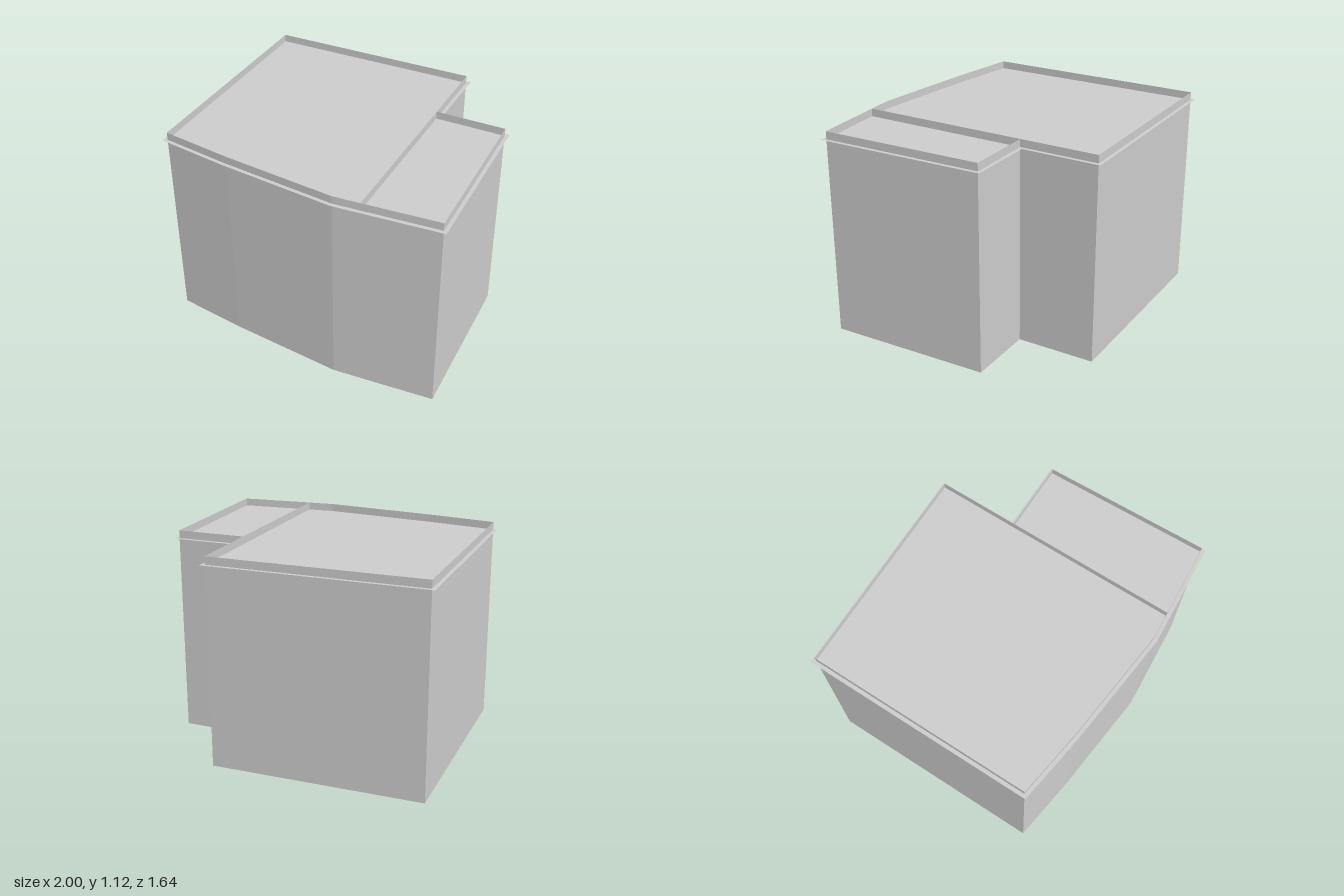
import * as THREE from 'three';

const WALL_TOP = 1.125, ROOF_Y = 1.083, OVERHANG = 0.02;

// Plan corners as [x, z], running round the building
const backLeft = [-0.974, -0.319], backMid = [0.065, -0.794], notch = [0.24, -0.404];
const wingBack = [0.585, -0.558], wingFront = [0.969, 0.236], dividerFront = [0.614, 0.428];
const bend1 = [0.487, 0.496], bend2 = [-0.105, 0.691], frontLeft = [-0.475, 0.797];
const outline = [backLeft, backMid, notch, wingBack, wingFront, dividerFront, bend1, bend2, frontLeft];

export function createModel() {
  const group = new THREE.Group();
  const material = new THREE.MeshStandardMaterial({ color: 0xcccccc, side: THREE.DoubleSide, flatShading: true });

  const add = (name, geometry) => {
    const mesh = new THREE.Mesh(geometry, material);
    mesh.name = name;
    group.add(mesh);
    return mesh;
  };

  // Upright thin wall between two plan corners, facing outward
  const wall = (name, a, b) => {
    const dx = b[0] - a[0], dz = b[1] - a[1];
    const mesh = add(name, new THREE.PlaneGeometry(Math.hypot(dx, dz), WALL_TOP));
    mesh.position.set((a[0] + b[0]) / 2, WALL_TOP / 2, (a[1] + b[1]) / 2);
    mesh.rotation.y = Math.atan2(dz, -dx);
  };

  // Horizontal sheet from plan corners
  const sheet = (name, points, y, facing) => {
    const shape = new THREE.Shape(points.map(([x, z]) => new THREE.Vector2(x, -z * facing)));
    const mesh = add(name, new THREE.ShapeGeometry(shape));
    mesh.rotation.x = -facing * Math.PI / 2;
    mesh.position.y = y;
  };

  // Outer walls rise past the roof as a parapet
  const names = ['mainBackWall', 'notchWall', 'wingBackWall', 'wingSideWall', 'wingFrontWall',
    'frontWallRight', 'frontWallMiddle', 'frontWallLeft', 'mainSideWall'];
  outline.forEach((p, i) => wall(names[i], p, outline[(i + 1) % outline.length]));

  // Wall between the main block and the side wing
  wall('dividingWall', notch, dividerFront);

  // Roof sheet, offset outward to make a narrow overhanging ledge
  const normal = (a, b) => {
    const dx = b[0] - a[0], dz = b[1] - a[1], l = Math.hypot(dx, dz);
    return [dz / l, -dx / l];
  };
  const n = outline.length;
  const eaves = outline.map((p, i) => {
    const u = normal(outline[(i + n - 1) % n], p), v = normal(p, outline[(i + 1) % n]);
    const k = OVERHANG / (1 + u[0] * v[0] + u[1] * v[1]);
    return [p[0] + (u[0] + v[0]) * k, p[1] + (u[1] + v[1]) * k];
  });
  sheet('roof', eaves, ROOF_Y, 1);

  // Only the wing is closed underneath
  sheet('wingFloor', [notch, wingBack, wingFront, dividerFront], 0, -1);

  return group;
}
